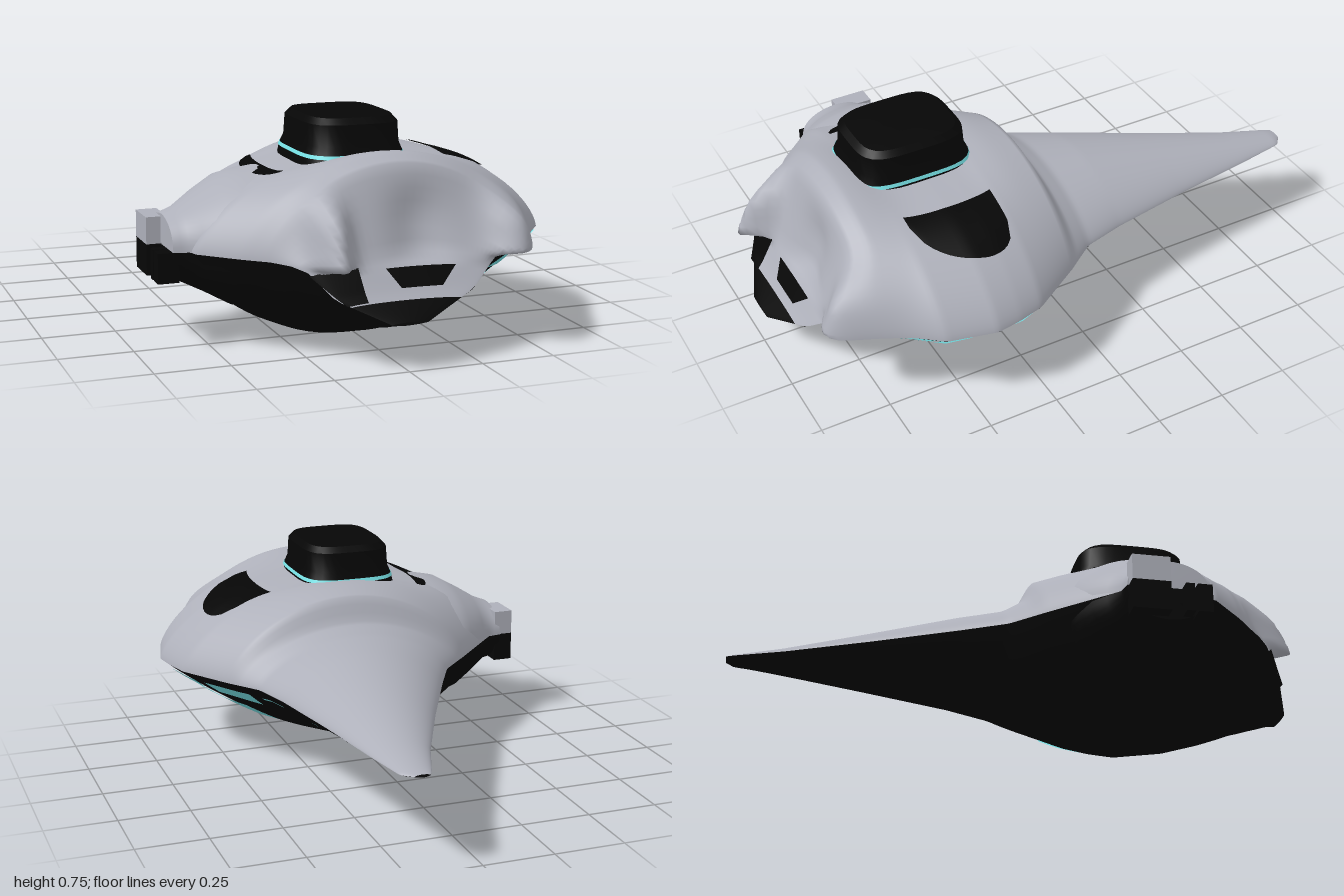
import * as THREE from 'three';
import { toCreasedNormals } from 'three/addons/utils/BufferGeometryUtils.js';

const { clamp, smoothstep } = THREE.MathUtils;
const paint = (name, color) => new THREE.MeshStandardMaterial({ name, color, side: THREE.DoubleSide });
const bell = (d, width) => Math.exp(-((d / width) ** 2));

// Hull stations along z: [z, xLowEdge, xHighEdge, seamY, topY, bottomY]
const STATIONS = [
  [-1, 0.18, 0.235, 0.33, 0.335, 0.325],
  [-0.97, 0.165, 0.27, 0.33, 0.345, 0.317],
  [-0.8, 0.1, 0.3, 0.33, 0.37, 0.285],
  [-0.5, -0.04, 0.345, 0.33, 0.42, 0.22],
  [-0.2, -0.19, 0.4, 0.33, 0.47, 0.155],
  [-0.05, -0.27, 0.44, 0.33, 0.485, 0.115],
  [0.02, -0.34, 0.49, 0.33, 0.52, 0.09],
  [0.06, -0.38, 0.52, 0.33, 0.605, 0.078],
  [0.25, -0.56, 0.64, 0.33, 0.64, 0.02],
  [0.34, -0.59, 0.665, 0.33, 0.645, 0.005],
  [0.43, -0.6, 0.68, 0.33, 0.645, 0],
  [0.6, -0.57, 0.64, 0.33, 0.645, 0.025],
  [0.72, -0.45, 0.54, 0.33, 0.645, 0.062],
  [0.78, -0.38, 0.48, 0.33, 0.615, 0.085],
  [0.83, -0.33, 0.4, 0.325, 0.46, 0.1],
  [0.87, -0.29, 0.35, 0.31, 0.34, 0.11],
  [0.93, -0.22, 0.25, 0.23, 0.24, 0.13],
  [1, -0.06, 0.06, 0.155, 0.16, 0.15],
];
const TOP_POWER = 0.68;
const KEEL_SHIFT = 0.16;

// Linear blend of a table of rows sorted by their first value
function blend(table, v) {
  let i = 0;
  while (i < table.length - 2 && table[i + 1][0] < v) i++;
  const a = table[i], b = table[i + 1];
  const t = clamp((v - a[0]) / (b[0] - a[0]), 0, 1);
  return a.map((n, k) => n + (b[k] - n) * t);
}
function stationAt(z) {
  const [, l, r, seam, top, bottom] = blend(STATIONS, z);
  return { mid: (l + r) / 2, half: (r - l) / 2, seam, top, bottom };
}

// Height of the upper skin over (x, z), sunken around the cabin
function topY(x, z) {
  const s = stationAt(z), u = (x - s.mid) / s.half;
  const sink = 0.035 * Math.exp(-(((z - 0.43) / 0.21) ** 4) - (x / 0.33) ** 4);
  return s.seam + (s.top - s.seam) * Math.pow(Math.max(0, 1 - u * u), TOP_POWER) - sink;
}
// Reach of the lower skin at (z, y)
function sideX(z, y) {
  const s = stationAt(z);
  const f = clamp((s.seam - y) / (s.seam - s.bottom), 0, 1);
  return s.mid + s.half * (Math.sqrt(1 - f) - KEEL_SHIFT * f);
}
// Front cheeks pushed forward, with a hollow between them
function cheekPush(x, y, z) {
  const push = 0.12 * bell(x - 0.44, 0.1) + 0.12 * bell(x + 0.21, 0.055) - 0.04 * bell(x - 0.1, 0.1);
  return push * smoothstep(z, 0.62, 0.8) * smoothstep(y, 0.305, 0.33) * (1 - smoothstep(y, 0.42, 0.6));
}

// Grid surface from a function of (i / rows, j / cols)
function surface(rows, cols, point, flip = false) {
  const pos = [], index = [];
  for (let i = 0; i <= rows; i++) for (let j = 0; j <= cols; j++) pos.push(...point(i / rows, j / cols));
  for (let i = 0; i < rows; i++) for (let j = 0; j < cols; j++) {
    const a = i * (cols + 1) + j, b = a + 1, c = a + cols + 1, d = c + 1;
    if (flip) index.push(a, c, b, b, c, d);
    else index.push(a, b, c, b, d, c);
  }
  const g = new THREE.BufferGeometry();
  g.setAttribute('position', new THREE.Float32BufferAttribute(pos, 3));
  g.setIndex(index);
  g.computeVertexNormals();
  return g;
}

function skin(z0, z1, upper) {
  const rows = Math.ceil((z1 - z0) * 75);
  return surface(rows, 44, (i, j) => {
    const z = z0 + (z1 - z0) * i, s = stationAt(z), u = Math.cos(j * Math.PI);
    const h = Math.max(0, 1 - u * u);
    if (!upper) return [s.mid + s.half * (u - KEEL_SHIFT * h), s.seam - (s.seam - s.bottom) * h, z];
    const x = s.mid + s.half * u, y = topY(x, z);
    return [x, y, z + cheekPush(x, y, z)];
  }, !upper);
}

// Side port rings along x: [x, halfWidth, topY, bottomY]
const PORT = [
  [-0.632, 0.005, 0.335, 0.325],
  [-0.63, 0.14, 0.43, 0.215],
  [-0.58, 0.15, 0.45, 0.205],
  [-0.5, 0.23, 0.5, 0.165],
  [-0.42, 0.29, 0.545, 0.12],
  [-0.3, 0.32, 0.57, 0.08],
];
const portSkin = (upper) => toCreasedNormals(surface((PORT.length - 1) * 2, 24, (i, j) => {
  const row = i * (PORT.length - 1), k = Math.min(Math.floor(row), PORT.length - 2);
  const [x, half, top, bottom] = PORT[k].map((n, c) => n + (PORT[k + 1][c] - n) * (row - k));
  const a = j * Math.PI, rise = Math.pow(Math.sin(a) + 1e-9, 0.9);
  return [x, 0.33 + ((upper ? top : bottom) - 0.33) * rise, 0.42 + half * Math.cos(a)];
}, upper), 0.8);

// Four-cornered patch laid on a skin by the project function
function patch(corners, project) {
  const mix = (a, b, t) => a + (b - a) * t;
  const [a, b, c, d] = corners;
  return surface(12, 12, (i, j) => project(
    mix(mix(a[0], b[0], i), mix(d[0], c[0], i), j),
    mix(mix(a[1], b[1], i), mix(d[1], c[1], i), j)));
}

// Lathe turned into a rounded square; points on the axis stay put
function roundedTower(profile) {
  const g = new THREE.LatheGeometry(profile.map((p) => new THREE.Vector2(...p)), 48);
  const p = g.attributes.position;
  for (let i = 0; i < p.count; i++) {
    const x = p.getX(i), z = p.getZ(i), r = Math.hypot(x, z);
    if (r < 1e-6) continue;
    const k = Math.pow((x / r) ** 4 + (z / r) ** 4, -0.25);
    p.setX(i, x * k * 0.82);
    p.setZ(i, z * k);
  }
  return toCreasedNormals(g, 0.6);
}

export function createModel() {
  const model = new THREE.Group();
  const grey = paint('greyHull', 0xaeb0ba);
  const black = paint('blackHull', 0x060606);
  const cyan = paint('cyanGlass', 0x7ae6ea);
  const add = (name, geometry, material) => {
    const mesh = new THREE.Mesh(geometry, material);
    mesh.name = name;
    model.add(mesh);
    return mesh;
  };

  // Main hull: grey upper skin with the tail and lip, black lower skin and jaw rim
  add('upperHull', skin(-1, 0.95, true), grey);
  add('jawRim', skin(0.95, 1, true), black);
  add('lowerHull', skin(-1, 1, false), black);

  // Mouth opening and the dark side of the jaw
  const onLip = (x, z) => [x, topY(x, z) + 0.006, z + 0.004];
  add('mouth', patch([[-0.04, 0.892], [0.2, 0.892], [0.14, 0.927], [0, 0.927]], onLip), black);
  add('jawSide', patch([[-0.29, 0.88], [-0.13, 0.885], [-0.12, 0.95], [-0.19, 0.95]], onLip), black);

  // Side port, grey above the seam and black below, with broken prongs
  add('portTop', portSkin(true), grey);
  add('portBottom', portSkin(false), black);
  for (const [name, z, depth, y, height, mat] of [
    ['upperProng', 0.35, 0.13, 0.375, 0.09, grey],
    ['lowerProng', 0.35, 0.13, 0.278, 0.104, black],
    ['frontProng', 0.53, 0.05, 0.28, 0.1, black],
    ['middleProng', 0.48, 0.03, 0.28, 0.1, black]]) {
    add(name, new THREE.BoxGeometry(0.07, height, depth), mat).position.set(-0.645, y, z);
  }

  // Cabin with a glass line around its foot
  add('cabin', roundedTower([[0.224, 0.57], [0.212, 0.62], [0.198, 0.65], [0.193, 0.72],
    [0.172, 0.74], [0.09, 0.75], [0, 0.75]]), black).position.set(-0.015, 0, 0.435);
  add('cabinGlassLine', roundedTower([[0.217, 0.612], [0.212, 0.624]]), cyan).position.set(-0.015, 0, 0.435);

  // Dark roof panels
  const onRoof = (x, z) => [x, topY(x, z) + 0.006, z];
  add('leftRoofPanel', surface(16, 10, (i, j) => {
    const v = i * 2 - 1, bow = Math.max(0, 1 - v * v);
    const inner = 0.3 + 0.018 * bow, outer = 0.385 - 0.04 * v + 0.13 * Math.sqrt(bow);
    return onRoof(inner + (outer - inner) * j, 0.42 + 0.16 * v);
  }, true), black);
  add('rightRoofPanel', surface(16, 6, (i, j) => {
    const v = i * 2 - 1;
    return onRoof(-0.27 - 0.02 * (1 - v * v) - 0.055 * j * Math.pow(1.02 - v * v, 0.3), 0.42 + 0.17 * v);
  }), black);

  // Glass panes under the seam on the left side, as (z, y) corners
  const panes = [
    [[0.83, 0.265], [0.79, 0.295], [0.66, 0.312], [0.66, 0.252]],
    [[0.64, 0.262], [0.61, 0.322], [0.5, 0.3], [0.52, 0.272]],
    [[0.4, 0.288], [0.33, 0.322], [0.235, 0.305], [0.24, 0.27]],
    [[0.2, 0.257], [0.2, 0.3], [0.02, 0.298], [0.03, 0.25]],
    [[0.74, 0.157], [0.63, 0.243], [0.5, 0.25], [0.55, 0.14]],
    [[0.4, 0.25], [0.18, 0.2], [0.17, 0.135], [0.34, 0.13]],
    [[-0.02, 0.285], [-0.02, 0.292], [-0.13, 0.293], [-0.13, 0.286]],
    [[-0.33, 0.29], [-0.33, 0.297], [-0.38, 0.298], [-0.38, 0.291]],
  ];
  panes.forEach((corners, i) => add(`sidePane${i + 1}`,
    patch(corners, (z, y) => [sideX(z, y) + 0.006, y - 0.003, z]), cyan));

  return model;
}
